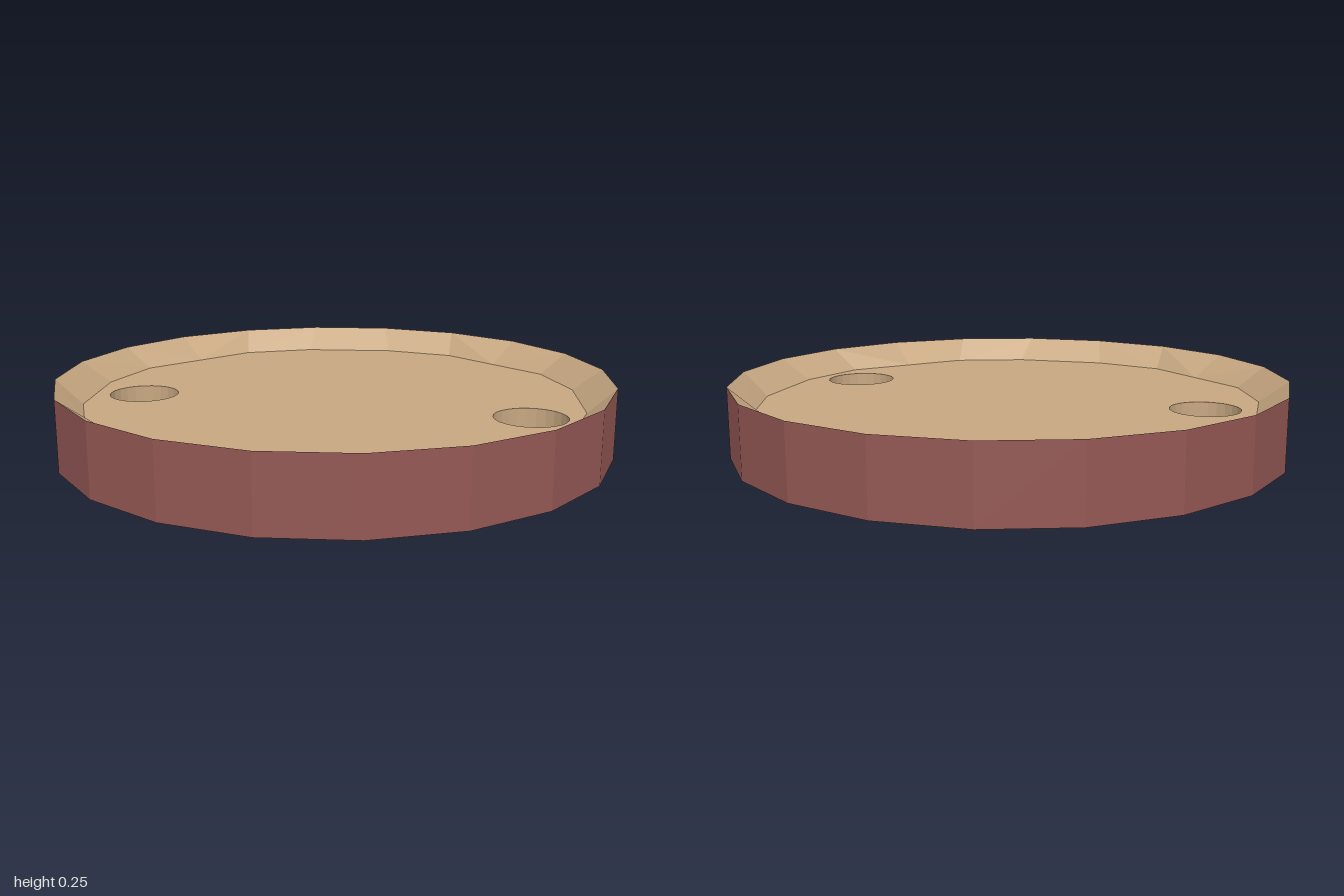
import * as THREE from 'three';

const HEIGHT = 0.254, FLOOR = 0.17, SIDES = 20;
const HOLES = [{ x: -0.5, z: 0.5, r: 0.125 }, { x: 0.66, z: -0.31, r: 0.128 }];

const tan = new THREE.MeshStandardMaterial({ color: 0xc8a882, flatShading: true });
tan.name = 'tan';
const redBrown = new THREE.MeshStandardMaterial({ color: 0x945854, flatShading: true });
redBrown.name = 'redBrown';

// Regular ring of [x, z] points
function circle(r, n, cx = 0, cz = 0) {
  return Array.from({ length: n }, (_, i) => {
    const t = (i / n) * Math.PI * 2;
    return [cx + r * Math.cos(t), cz + r * Math.sin(t)];
  });
}

// Faceted band joining two rings; flip(i) picks the other diagonal
function band(ringA, yA, ringB, yB, flip = () => false) {
  const pos = [];
  const n = ringA.length;
  for (let i = 0; i < n; i++) {
    const j = (i + 1) % n;
    const a = [ringA[i][0], yA, ringA[i][1]], a2 = [ringA[j][0], yA, ringA[j][1]];
    const b = [ringB[i][0], yB, ringB[i][1]], b2 = [ringB[j][0], yB, ringB[j][1]];
    if (flip(i)) pos.push(...a, ...b, ...b2, ...a, ...b2, ...a2);
    else pos.push(...a, ...b, ...a2, ...b, ...b2, ...a2);
  }
  const g = new THREE.BufferGeometry();
  g.setAttribute('position', new THREE.Float32BufferAttribute(pos, 3));
  g.computeVertexNormals();
  return g;
}

// Flat horizontal plate with the holes cut out; dir is 1 facing up, -1 facing down
function plate(ring, y, dir) {
  const toVec = ([x, z]) => new THREE.Vector2(x, -dir * z);
  const shape = new THREE.Shape(ring.map(toVec));
  for (const h of HOLES) shape.holes.push(new THREE.Path(circle(h.r, 24, h.x, h.z).map(toVec)));
  return new THREE.ShapeGeometry(shape).rotateX(-dir * Math.PI / 2).translate(0, y, 0);
}

export function createModel() {
  const model = new THREE.Group();
  model.name = 'dish';
  const add = (name, geometry, material) => {
    const mesh = new THREE.Mesh(geometry, material);
    mesh.name = name;
    model.add(mesh);
  };

  const outer = circle(1, SIDES);
  // Squarish floor outline: one quarter, turned four times
  const quarter = [[0.875, 0], [0.875, 0.25], [0.75, 0.5], [0.5, 0.75], [0.25, 0.875]];
  const inner = [];
  for (let q = 0; q < 4; q++) {
    const c = [1, 0, -1, 0][q], s = [0, 1, 0, -1][q];
    for (const [x, z] of quarter) inner.push([x * c - z * s, x * s + z * c]);
  }

  add('outerWall', band(outer, 0, outer, HEIGHT), redBrown);
  add('underside', plate(outer, 0, -1), redBrown);
  add('slopedRim', band(outer, HEIGHT, inner, FLOOR, (i) => i % 5 >= 3), tan);
  add('floor', plate(inner, FLOOR, 1), tan);

  // Inner walls of the through holes
  HOLES.forEach((h, i) => {
    const ring = circle(h.r, 24, h.x, h.z);
    add(`holeWall${i + 1}`, band(ring, FLOOR, ring, 0), tan);
  });

  return model;
}
